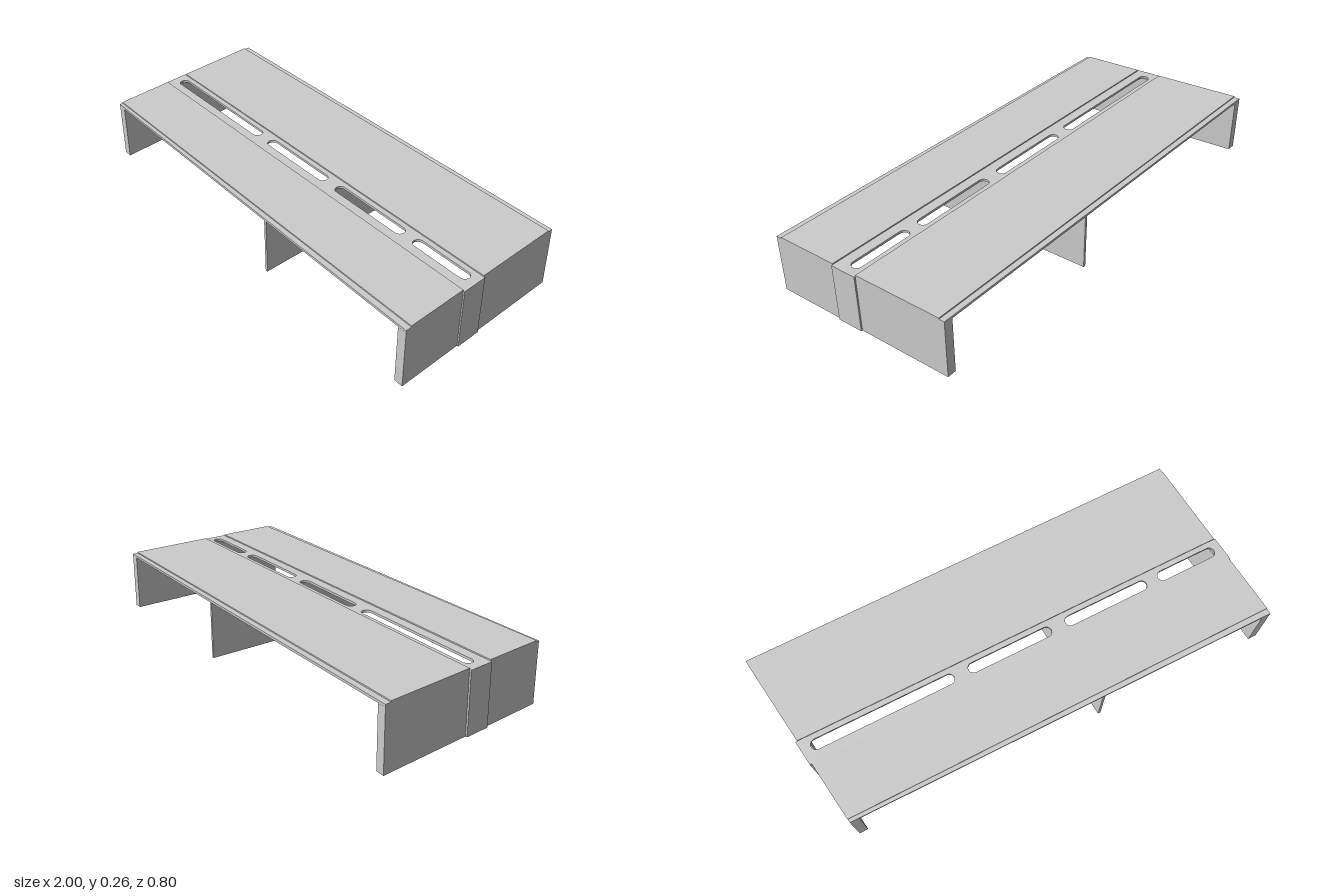
import * as THREE from 'three';

const material = new THREE.MeshStandardMaterial({ color: 0xcccccc });
const BACK = -0.398, FRONT = 0.394;   // depth of the stand
const Z0 = 0.003, Z1 = 0.113;         // central slotted strip
const UNDER = 0.245, DECK = 0.255, TOP = 0.26;

// slanted side lines in plan
const leftX = z => -1 + (z + 0.4) * 0.137;
const rightX = z => 0.94 + (z + 0.4) * 0.075;

// vertical prism over a plan outline of [x, z] points
function prism(name, points, y0, y1, holes = []) {
  const shape = new THREE.Shape(points.map(([x, z]) => new THREE.Vector2(x, -z)));
  shape.holes.push(...holes);
  const geometry = new THREE.ExtrudeGeometry(shape, {
    depth: y1 - y0, bevelEnabled: false, curveSegments: 10,
  });
  geometry.rotateX(-Math.PI / 2).translate(0, y0, 0);
  const mesh = new THREE.Mesh(geometry, material);
  mesh.name = name;
  return mesh;
}

// rounded slot from x0 to x1
function slot(x0, x1, z = 0.048, r = 0.0225) {
  const path = new THREE.Path();
  path.absarc(x1 - r, -z, r, -Math.PI / 2, Math.PI / 2, false);
  path.absarc(x0 + r, -z, r, Math.PI / 2, Math.PI * 1.5, false);
  path.closePath();
  return path;
}

// outer side edges, from back to front, with the strip standing slightly proud
function edge(lineX, bump) {
  return [
    [lineX(BACK), BACK], [lineX(Z0), Z0], [lineX(Z0) + bump, Z0],
    [lineX(Z1) + bump, Z1], [lineX(Z1), Z1], [lineX(FRONT), FRONT],
  ];
}

export function createModel() {
  const group = new THREE.Group();
  group.name = 'shelfStand';
  const left = edge(leftX, -0.008);
  const right = edge(rightX, 0.006);
  // pin the outermost corners
  left[0] = [-1, -0.4];
  left[5][1] = 0.39;
  right[5] = [1, 0.4];

  // slotted deck
  const slots = [[-0.905, -0.28], [-0.215, 0.163], [0.23, 0.613], [0.67, 0.943]];
  group.add(prism('deck', [...left, ...right.slice().reverse()], UNDER, DECK,
    slots.map(([a, b]) => slot(a, b))));

  // raised panels behind and in front of the strip
  for (const [name, a, b] of [['backPanel', -0.375, Z0], ['frontPanel', Z1, 0.375]]) {
    group.add(prism(name, [
      [leftX(a), a], [leftX(b), b], [rightX(b), b], [rightX(a), a],
    ], DECK, TOP));
  }

  // side walls follow the slanted edges
  const t = 0.038;
  group.add(prism('rightWall', [
    ...left, [left[5][0] + t, left[5][1]], [left[0][0] + t, left[0][1]],
  ], 0, UNDER));
  group.add(prism('leftWall', [
    ...right, [right[5][0] - t, right[5][1]], [right[0][0] - t, right[0][1]],
  ], 0, UNDER));

  // thin middle support
  group.add(prism('middleWall', [
    [0.158, BACK], [0.215, FRONT], [0.226, FRONT], [0.169, BACK],
  ], 0, UNDER));

  return group;
}
